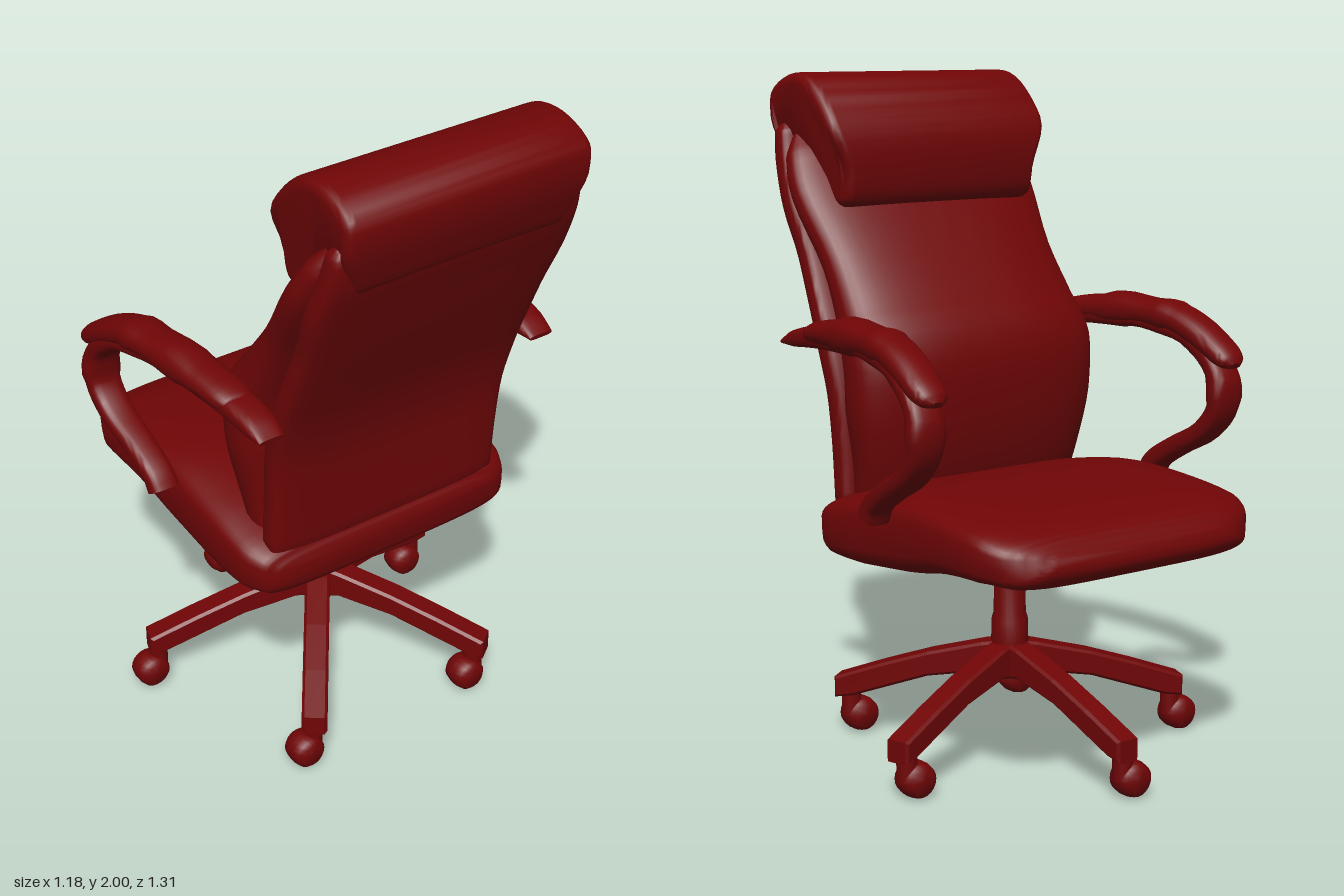
import * as THREE from 'three';
import { toCreasedNormals } from 'three/addons/utils/BufferGeometryUtils.js';

const red = new THREE.MeshStandardMaterial({ color: 0x700506 });

function part(name, geometry, parent) {
  const mesh = new THREE.Mesh(geometry, red);
  mesh.name = name;
  parent.add(mesh);
  return mesh;
}

// Loft of rounded sections; each row is [x, y, z, half width along x, half thickness].
function sweep(rows, { power = 2, ring = 32, steps = 4 } = {}) {
  const path = new THREE.CatmullRomCurve3(rows.map(r => new THREE.Vector3(r[0], r[1], r[2])));
  const size = new THREE.CatmullRomCurve3(rows.map(r => new THREE.Vector3(r[3], r[4], 0)));
  const side = new THREE.Vector3(1, 0, 0), n = new THREE.Vector3();
  const count = (rows.length - 1) * steps, pos = [], index = [];
  const bend = v => Math.sign(v) * Math.abs(v) ** (2 / power);
  for (let i = 0; i <= count; i++) {
    const t = i / count, c = path.getPoint(t), s = size.getPoint(t);
    n.crossVectors(side, path.getTangent(t)).normalize();
    for (let j = 0; j < ring; j++) {
      const a = (j / ring) * Math.PI * 2;
      const p = c.clone().addScaledVector(side, s.x * bend(Math.cos(a))).addScaledVector(n, s.y * bend(Math.sin(a)));
      pos.push(p.x, p.y, p.z);
    }
  }
  const first = pos.length / 3, last = first + 1, end = count * ring;
  pos.push(...path.getPoint(0).toArray(), ...path.getPoint(1).toArray());
  for (let j = 0; j < ring; j++) {
    const k = (j + 1) % ring;
    for (let i = 0; i < count; i++) {
      const a = i * ring + j, b = i * ring + k;
      index.push(a, a + ring, b, b, a + ring, b + ring);
    }
    index.push(first, j, k, last, end + k, end + j);
  }
  const g = new THREE.BufferGeometry();
  g.setAttribute('position', new THREE.Float32BufferAttribute(pos, 3));
  g.setIndex(index);
  return toCreasedNormals(g, 0.8);
}

export function createModel() {
  const chair = new THREE.Group();
  chair.name = 'officeChair';

  // Seat, from the rear to the front edge
  part('seat', sweep([
    [0, 0.685, 0.33, 0.39, 0.05], [0, 0.685, 0.31, 0.43, 0.08], [0, 0.692, 0.24, 0.465, 0.1],
    [0, 0.712, 0.1, 0.475, 0.12], [0, 0.74, -0.1, 0.475, 0.128], [0, 0.757, -0.3, 0.475, 0.108],
    [0, 0.752, -0.5, 0.475, 0.086], [0, 0.737, -0.585, 0.435, 0.072], [0, 0.739, -0.615, 0.4, 0.062],
    [0, 0.745, -0.637, 0.35, 0.042], [0, 0.75, -0.648, 0.3, 0.018],
  ], { power: 4.5, ring: 48 }), chair);

  // Backrest: rear shell and front cushion
  const back = new THREE.Group();
  back.name = 'backrest';
  chair.add(back);
  part('backShell', sweep([
    [0, 0.73, 0.27, 0.37, 0.03], [0, 0.76, 0.272, 0.395, 0.05], [0, 0.92, 0.283, 0.395, 0.052],
    [0, 1.08, 0.3, 0.4, 0.052], [0, 1.22, 0.337, 0.408, 0.052], [0, 1.34, 0.388, 0.405, 0.05],
    [0, 1.47, 0.445, 0.402, 0.05], [0, 1.62, 0.508, 0.415, 0.05], [0, 1.75, 0.56, 0.405, 0.05],
    [0, 1.83, 0.578, 0.395, 0.045], [0, 1.86, 0.58, 0.37, 0.02],
  ], { power: 4.5, ring: 48 }), back);
  part('backCushion', sweep([
    [0, 0.76, 0.19, 0.38, 0.09], [0, 0.88, 0.165, 0.395, 0.115], [0, 1.05, 0.15, 0.425, 0.13],
    [0, 1.2, 0.155, 0.43, 0.13], [0, 1.31, 0.215, 0.415, 0.11], [0, 1.46, 0.31, 0.405, 0.09],
    [0, 1.65, 0.435, 0.43, 0.082], [0, 1.76, 0.5, 0.41, 0.07], [0, 1.82, 0.53, 0.37, 0.04],
  ], { power: 2.7, ring: 48 }), back);

  // Headrest roll: side profile in (z, y), extruded across the width
  const bevel = 0.03;
  const outline = new THREE.CatmullRomCurve3([
    [0.65, 1.89], [0.64, 1.95], [0.55, 1.998], [0.45, 1.998], [0.37, 1.95], [0.285, 1.84],
    [0.275, 1.71], [0.3, 1.63], [0.36, 1.62], [0.46, 1.7], [0.59, 1.71], [0.625, 1.78],
  ].map(([z, y]) => new THREE.Vector3(z, y, 0)), true);
  const profile = new THREE.Shape(outline.getPoints(48).slice(0, -1).map(p => new THREE.Vector2(p.x, p.y)));
  const roll = new THREE.ExtrudeGeometry(profile, {
    depth: 0.72, bevelSize: bevel, bevelThickness: bevel, bevelOffset: -bevel, bevelSegments: 5,
  });
  roll.translate(0, 0, -0.36).rotateY(-Math.PI / 2);
  // The roll narrows towards its lower edge
  const v = roll.attributes.position;
  for (let i = 0; i < v.count; i++) {
    v.setX(i, v.getX(i) * (1 - 0.13 * THREE.MathUtils.smoothstep(1.87 - v.getY(i), 0, 0.17)));
  }
  part('headrest', toCreasedNormals(roll, 0.7), back);

  // Armrests: a flat looped support with a padded top
  for (const s of [1, -1]) {
    const arm = new THREE.Group();
    arm.name = s > 0 ? 'leftArmrest' : 'rightArmrest';
    chair.add(arm);
    const mirror = rows => rows.map(([x, ...rest]) => [s * x, ...rest]);
    part('armSupport', sweep(mirror([
      [0.46, 1.23, 0.41, 0.04, 0.008], [0.46, 1.245, 0.35, 0.05, 0.026], [0.465, 1.26, 0.25, 0.052, 0.032],
      [0.49, 1.267, 0, 0.052, 0.03], [0.51, 1.26, -0.15, 0.052, 0.03], [0.525, 1.22, -0.28, 0.052, 0.03],
      [0.533, 1.14, -0.365, 0.052, 0.031], [0.533, 1.04, -0.375, 0.052, 0.031],
      [0.528, 0.96, -0.315, 0.05, 0.031], [0.518, 0.895, -0.2, 0.046, 0.031],
      [0.512, 0.84, -0.115, 0.045, 0.032], [0.51, 0.8, -0.09, 0.045, 0.035],
    ]), { power: 3, ring: 24 }), arm);
    part('armPad', sweep(mirror([
      [0.465, 1.265, 0.27, 0.025, 0.01], [0.468, 1.27, 0.255, 0.05, 0.026], [0.471, 1.276, 0.22, 0.06, 0.034],
      [0.484, 1.286, 0.1, 0.062, 0.042], [0.504, 1.291, -0.1, 0.062, 0.042], [0.514, 1.282, -0.2, 0.062, 0.042],
      [0.522, 1.248, -0.29, 0.06, 0.04], [0.53, 1.195, -0.38, 0.055, 0.034],
      [0.53, 1.175, -0.412, 0.044, 0.024], [0.53, 1.165, -0.428, 0.02, 0.01],
    ]), { power: 2.3, ring: 24 }), arm);
  }

  // Base group, its centre slightly forward of the seat's middle
  const base = new THREE.Group();
  base.name = 'swivelBase';
  base.position.z = -0.042;
  chair.add(base);

  // Gas lift column and hub
  const column = [[0, 0.225], [0.05, 0.225], [0.056, 0.34], [0.054, 0.41], [0.048, 0.43], [0.047, 0.64], [0, 0.64]];
  part('column', toCreasedNormals(
    new THREE.LatheGeometry(column.map(p => new THREE.Vector2(...p)), 24), 0.6), base);

  // Five legs with casters
  const legSide = new THREE.Shape([
    [0, 0.23], [0, 0.35], [0.08, 0.335], [0.25, 0.29], [0.4, 0.24], [0.55, 0.185],
    [0.55, 0.12], [0.49, 0.13], [0.25, 0.215], [0.08, 0.245],
  ].map(p => new THREE.Vector2(...p)));
  const legGeo = new THREE.ExtrudeGeometry(legSide, {
    depth: 0.06, bevelSize: 0.008, bevelThickness: 0.008, bevelOffset: -0.008, bevelSegments: 1,
  }).translate(0, 0, -0.03);
  const wheelGeo = toCreasedNormals(new THREE.LatheGeometry(
    [[0, -0.045], [0.036, -0.045], [0.048, -0.034], [0.053, -0.012], [0.053, 0.012], [0.048, 0.034],
      [0.036, 0.045], [0, 0.045]].map(p => new THREE.Vector2(...p)), 20), 0.9)
    .rotateX(Math.PI / 2);
  const stemGeo = new THREE.CylinderGeometry(0.03, 0.03, 0.1, 16);
  for (let i = 0; i < 5; i++) {
    const angle = Math.PI / 2 + (i * Math.PI * 2) / 5;
    const x = Math.cos(angle) * 0.515, z = -Math.sin(angle) * 0.515;
    part('baseLeg', legGeo, base).rotation.y = angle;
    part('casterStem', stemGeo, base).position.set(x - 0.008, 0.11, z);
    part('casterWheel', wheelGeo, base).position.set(x - 0.037, 0.057, z);
  }
  return chair;
}
